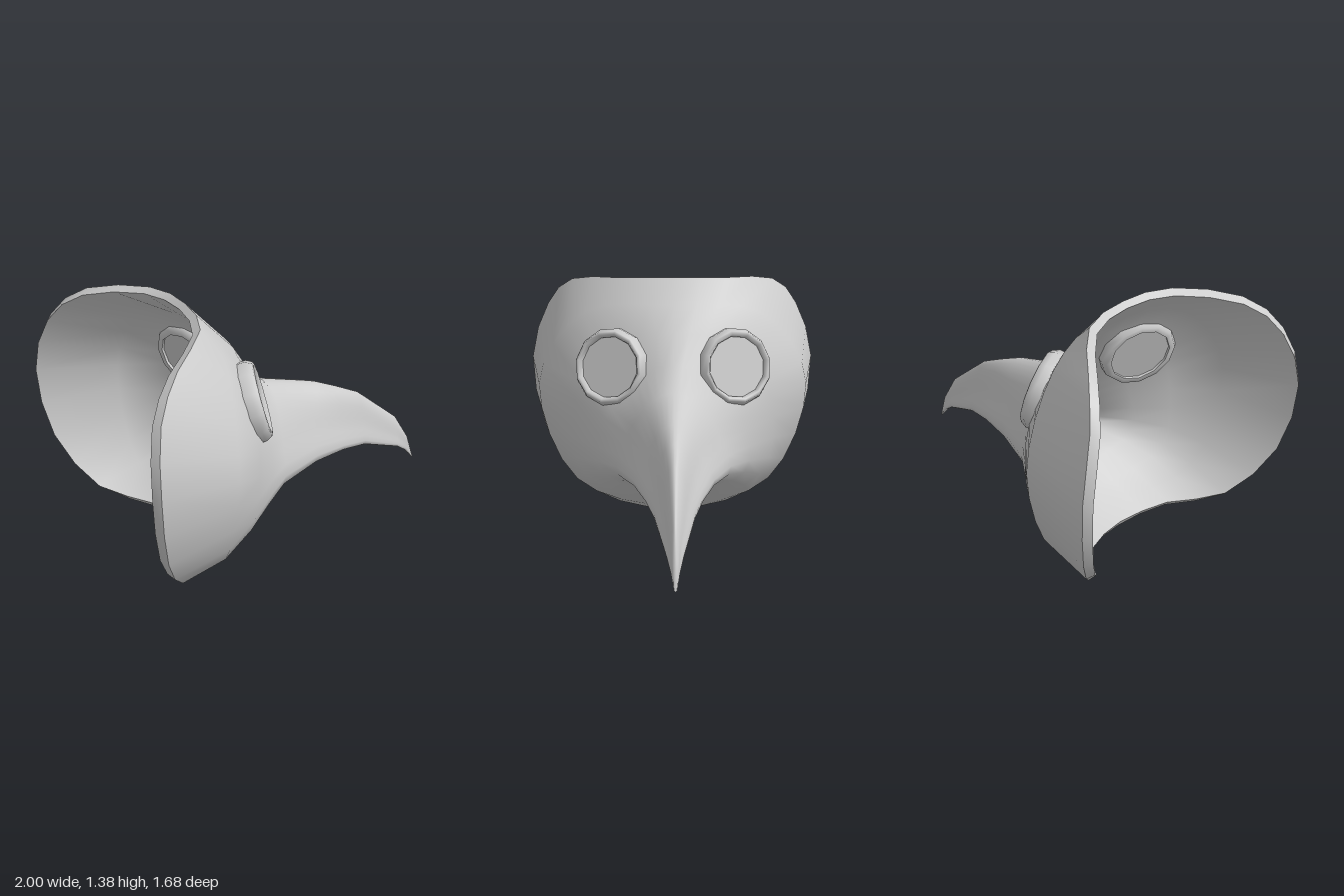
import * as THREE from 'three';

// Half cross-sections, tip to back: top, upper cheek, side, lower ridge, bottom
const BEAK = [
  [[1, .118, 0], [1, .117, .007], [.999, .115, .008], [.999, .112, .007], [.999, .111, 0]],
  [[.955, .265, 0], [.955, .25, .015], [.95, .22, .02], [.945, .182, .022], [.945, .175, 0]],
  [[.87, .41, 0], [.87, .37, .02], [.87, .3, .033], [.87, .237, .042], [.88, .225, 0]],
  [[.61, .63, 0], [.61, .58, .042], [.61, .46, .077], [.61, .347, .105], [.62, .332, 0]],
  [[.47, .698, 0], [.46, .645, .06], [.45, .51, .11], [.44, .376, .15], [.46, .362, 0]],
  [[.33, .76, 0], [.31, .7, .08], [.27, .56, .15], [.23, .388, .215], [.25, .353, 0]],
];
const FACE = [
  [[.01, .84, 0], [.02, .78, .13], [0, .6, .25], [-.02, .36, .305], [-.03, .28, 0]],
  [[-.1, .96, 0], [-.13, .87, .2], [-.14, .65, .38], [-.16, .325, .4], [-.12, .21, 0]],
  [[-.2, 1.12, 0], [-.27, 1.04, .34], [-.29, .72, .55], [-.32, .26, .5], [-.23, .13, 0]],
  [[-.32, 1.25, 0], [-.44, 1.18, .5], [-.52, .74, .77], [-.5, .17, .56], [-.34, .06, 0]],
];
// The rim has twice as many points along the same half-loop
const RIM = [
  [-.44, 1.38, 0], [-.5, 1.367, .31], [-.75, 1.31, .58], [-.91, 1.13, .735], [-.965, .79, .84],
  [-.91, .38, .77], [-.74, .09, .55], [-.51, .025, .31], [-.44, .005, 0],
];
const SECTIONS = [...BEAK, ...FACE, RIM];
const AROUND = 32;

// Closed ring through a half-section and its mirror image
function ring(half) {
  const v = half.map(p => new THREE.Vector3(...p));
  const mirrored = v.slice(1, -1).reverse().map(p => new THREE.Vector3(p.x, p.y, -p.z));
  const curve = new THREE.CatmullRomCurve3([...v, ...mirrored], true, 'catmullrom', 0.5);
  return Array.from({ length: AROUND }, (_, j) => curve.getPoint(j / AROUND));
}

// Skin over closed rings with shared vertices
function skin(rings, flip = false) {
  const pos = [], index = [];
  rings.forEach(r => r.forEach(p => pos.push(p.x, p.y, p.z)));
  for (let i = 0; i < rings.length - 1; i++) {
    for (let j = 0; j < AROUND; j++) {
      const k = (j + 1) % AROUND;
      const a = i * AROUND + j, b = a + AROUND, c = i * AROUND + k, d = c + AROUND;
      if (flip) index.push(a, c, b, c, d, b);
      else index.push(a, b, c, c, b, d);
    }
  }
  const g = new THREE.BufferGeometry();
  g.setAttribute('position', new THREE.Float32BufferAttribute(pos, 3));
  g.setIndex(index);
  g.computeVertexNormals();
  return g;
}

export function createModel() {
  const group = new THREE.Group();
  const material = new THREE.MeshStandardMaterial({ color: 0xcccccc });
  const add = (name, geometry, parent = group) => {
    const mesh = new THREE.Mesh(geometry, material);
    mesh.name = name;
    parent.add(mesh);
  };

  // Outer face and beak
  const outer = SECTIONS.map(ring);
  const outerGeometry = skin(outer);
  add('outerShell', outerGeometry);

  // Lining, offset inwards and thinner towards the beak tip
  const normals = outerGeometry.attributes.normal;
  const inner = outer.map((r, i) => {
    const thickness = Math.min(0.042, 0.2 * r[AROUND / 4].z);
    return r.map((p, j) => new THREE.Vector3()
      .fromBufferAttribute(normals, i * AROUND + j).multiplyScalar(-thickness).add(p));
  });
  // The rim slants backwards at the sides
  inner.at(-1).forEach(p => { p.x -= 0.03 * Math.abs(p.z); });
  add('innerLining', skin(inner, true));

  // Rim closing the two skins
  add('rim', skin([outer.at(-1), inner.at(-1)]));

  // Goggles: bevelled ring with a recessed lens
  const frame = [[.17, -.09], [.2, -.09], [.216, -.06], [.218, .015], [.2, .05], [.183, .055], [.17, .035], [.17, -.09]]
    .map(p => new THREE.Vector2(...p));
  for (const side of [1, -1]) {
    const eye = new THREE.Group();
    eye.name = side > 0 ? 'leftGoggle' : 'rightGoggle';
    add('goggleFrame', new THREE.LatheGeometry(frame, 12), eye);
    add('lens', new THREE.CylinderGeometry(.172, .172, .1, 12).translate(0, -.025, 0), eye);
    eye.position.set(-.225, .92, .34 * side);
    eye.quaternion.setFromUnitVectors(new THREE.Vector3(0, 1, 0), new THREE.Vector3(1, .3, .45 * side).normalize());
    group.add(eye);
  }
  return group;
}
